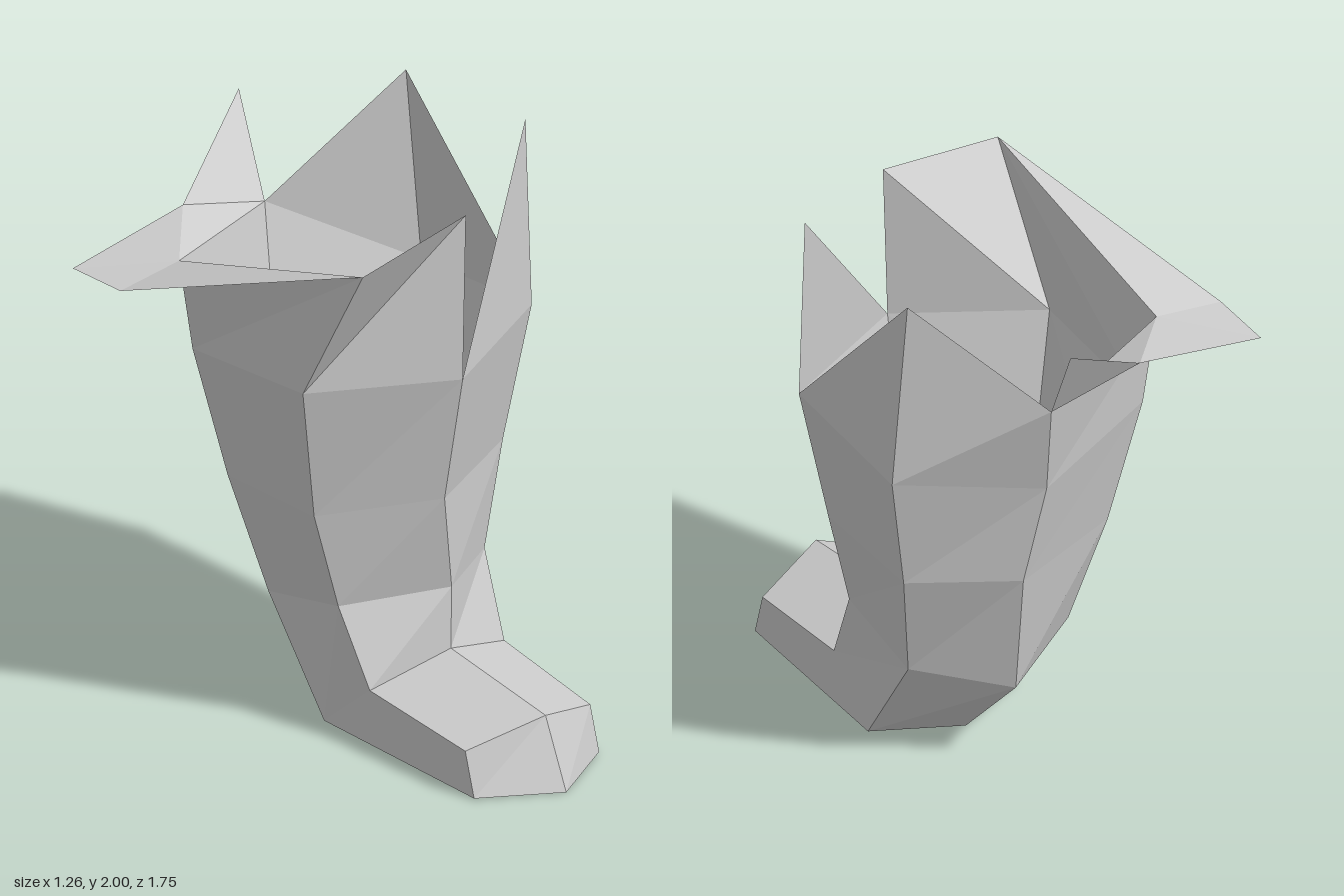
import * as THREE from 'three';

const CENTRE = 0.145;

// Hexagonal ring: front, left front, left back, back, right back, right front.
// Side points give [half width, y, z] and are mirrored; drop lowers the right side.
function ring(front, sideFront, sideBack, back, drop = 0) {
  const side = ([w, y, z], s) => [CENTRE + s * w, s < 0 ? y - drop : y, z];
  return [front, side(sideFront, 1), side(sideBack, 1), back, side(sideBack, -1), side(sideFront, -1)];
}

// Flat polygons, each fanned into triangles; collapsed triangles are skipped.
function mesh(name, polygons, material) {
  const positions = [];
  const same = (a, b) => a.every((v, i) => v === b[i]);
  for (const p of polygons) {
    for (let i = 1; i < p.length - 1; i++) {
      const [a, b, c] = [p[0], p[i], p[i + 1]];
      if (same(a, b) || same(b, c) || same(a, c)) continue;
      positions.push(...a, ...b, ...c);
    }
  }
  const geometry = new THREE.BufferGeometry();
  geometry.setAttribute('position', new THREE.Float32BufferAttribute(positions, 3));
  geometry.computeVertexNormals();
  const result = new THREE.Mesh(geometry, material);
  result.name = name;
  return result;
}

// Quads between successive rings, facing outward.
function loft(rings) {
  const quads = [];
  for (let r = 0; r < rings.length - 1; r++) {
    for (let i = 0; i < 6; i++) {
      const j = (i + 1) % 6;
      quads.push([rings[r][i], rings[r][j], rings[r + 1][j], rings[r + 1][i]]);
    }
  }
  return quads;
}

export function createModel() {
  const group = new THREE.Group();
  group.name = 'boot';
  const leather = new THREE.MeshStandardMaterial({ color: 0xcccccc, side: THREE.DoubleSide, flatShading: true });
  leather.name = 'light grey leather';

  // Foot: the heel points stay put while the toe steps back to the instep
  const heelSide = [0.295, 0.02, 0];
  const heel = [0.145, 0.01, -0.13];
  const sole = ring([0.145, 0, 0.875], [0.265, 0.005, 0.725], heelSide, heel);
  const toe = ring([0.145, 0.24, 0.77], [0.265, 0.16, 0.68], heelSide, heel);
  const instep = ring([0.145, 0.3, 0.29], [0.285, 0.21, 0.22], heelSide, heel);

  // Leg, flaring upward
  const ankle = ring([0.165, 0.51, 0.27], [0.31, 0.49, 0.09], [0.31, 0.41, -0.265], [0.145, 0.32, -0.43], 0.015);
  const calf = ring([0.11, 0.86, 0.3], [0.4, 0.85, 0.075], [0.395, 0.83, -0.37], [0.18, 0.8, -0.53], 0.025);
  const rim = ring([0.12, 1.32, 0.38], [0.485, 1.33, 0.12], [0.485, 1.28, -0.44], [0.135, 1.18, -0.6], 0.015);

  group.add(mesh('sole', [[...sole].reverse()], leather));
  group.add(mesh('foot', loft([sole, toe, instep]), leather));
  group.add(mesh('leg', loft([instep, ankle, calf, rim]), leather));

  // Ragged cuff: one panel above each side of the rim
  const [front, leftFront, leftBack, back, rightBack, rightFront] = rim;
  const frontTip = [0.15, 1.9, 0.36];
  const leftFrontTip = [0.62, 2, 0.1];
  const leftBackTip = [0.59, 1.97, -0.47];
  const backTip = [0.175, 1.54, -0.69];
  const rightBackTip = [-0.38, 1.59, -0.46];
  const rightFrontTip = [-0.32, 1.84, 0.4];
  const panels = {
    frontLeftPanel: [front, leftFront, leftFrontTip],
    leftPanel: [leftFront, leftBack, leftBackTip],
    backLeftPanel: [leftBack, back, backTip, leftBackTip],
    backRightPanel: [back, rightBack, rightBackTip, backTip],
    rightPanel: [rightBack, rightFront, rightFrontTip, rightBackTip],
    frontRightPanel: [rightFront, front, frontTip, rightFrontTip],
  };

  // Flaps folded outward over the back right corner
  const foldBack = [-0.155, 1.625, -0.71];
  const foldSide = [-0.63, 1.56, -0.46];
  panels.backFlap = [backTip, rightBackTip, foldBack, [0.22, 1.865, -0.875]];
  panels.cornerFlap = [rightBackTip, foldSide, [-0.63, 1.55, -0.7], foldBack];
  panels.sideFlap = [rightBackTip, rightFrontTip, foldSide];

  const cuff = new THREE.Group();
  cuff.name = 'cuff';
  for (const [name, polygon] of Object.entries(panels)) cuff.add(mesh(name, [polygon], leather));
  group.add(cuff);
  return group;
}
